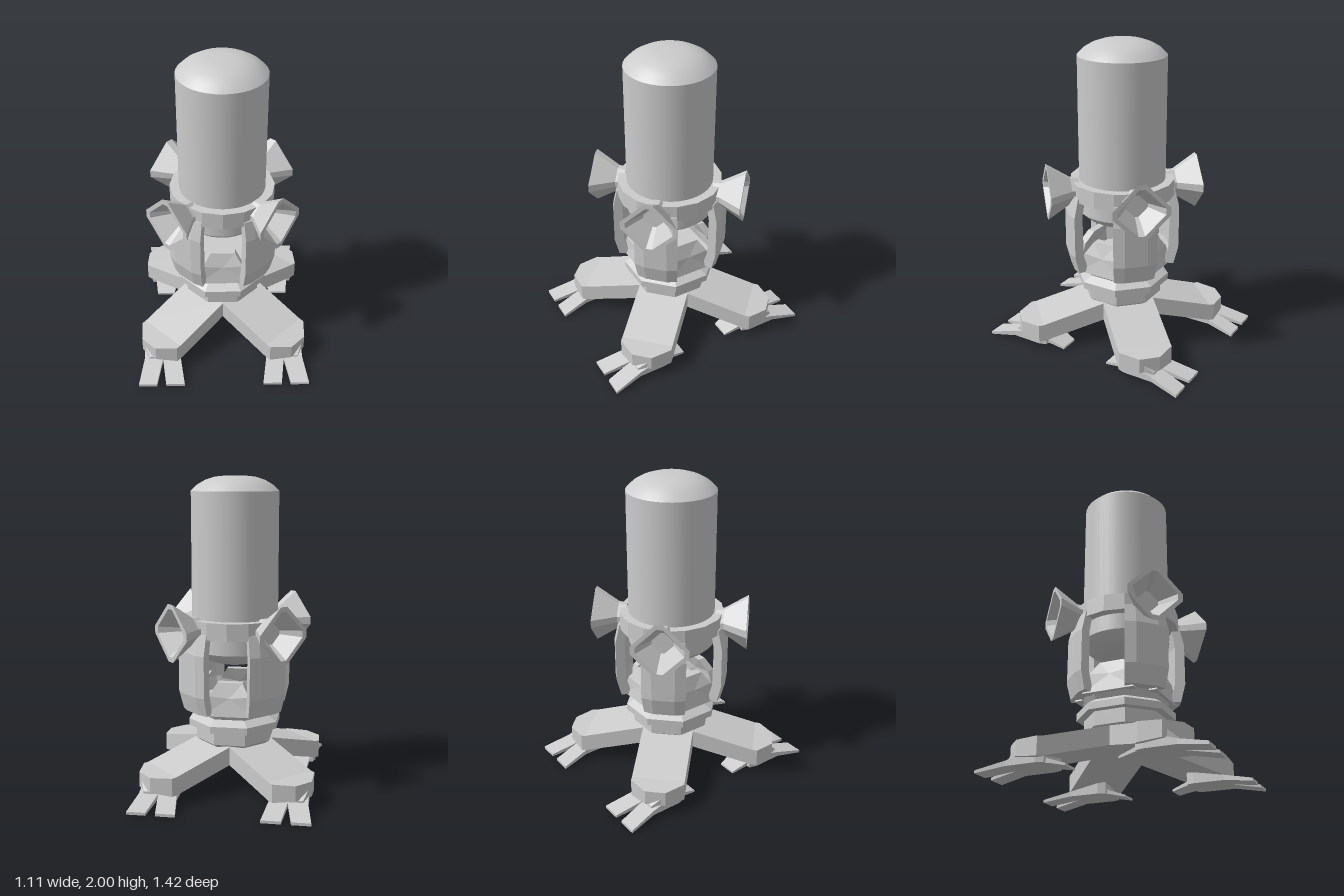
import * as THREE from 'three';

const flat = () => new THREE.MeshStandardMaterial({ color: 0xcccccc, flatShading: true });
const smooth = () => new THREE.MeshStandardMaterial({ color: 0xcccccc });

// Closed solid through rings of [x, y, z] points, always wound outwards
function loft(rings) {
  const tris = [];
  const n = rings[0].length;
  for (let r = 0; r < rings.length - 1; r++) {
    for (let i = 0; i < n; i++) {
      const j = (i + 1) % n;
      const a = rings[r][i], b = rings[r][j], c = rings[r + 1][j], d = rings[r + 1][i];
      tris.push([a, b, c], [a, c, d]);
    }
  }
  const cap = (ring, first) => {
    const mid = [0, 1, 2].map((k) => ring.reduce((sum, p) => sum + p[k], 0) / n);
    for (let i = 0; i < n; i++) {
      const a = ring[i], b = ring[(i + 1) % n];
      tris.push(first ? [mid, b, a] : [mid, a, b]);
    }
  };
  cap(rings[0], true);
  cap(rings[rings.length - 1], false);
  const vec = (p) => new THREE.Vector3(...p);
  let volume = 0;
  for (const [a, b, c] of tris) volume += vec(a).dot(vec(b).cross(vec(c)));
  const pos = tris.flatMap(([a, b, c]) => (volume < 0 ? [a, c, b] : [a, b, c])).flat();
  const geo = new THREE.BufferGeometry();
  geo.setAttribute('position', new THREE.Float32BufferAttribute(pos, 3));
  geo.computeVertexNormals();
  return geo;
}

const lathe = (pts, sides, start = 0) =>
  new THREE.LatheGeometry(pts.map(([x, y]) => new THREE.Vector2(x, y)), sides, start);

// Rectangle across x and y at depth z
const rectAt = (z, x0, x1, y0, y1) => [[x0, y0, z], [x1, y0, z], [x1, y1, z], [x0, y1, z]];

export function createModel() {
  const model = new THREE.Group();
  const add = (name, geo, mat = flat(), turn = 0) => {
    const mesh = new THREE.Mesh(geo, mat);
    mesh.name = name;
    mesh.rotation.y = turn;
    model.add(mesh);
    return mesh;
  };

  // Smooth canister with domed ends
  const dome = [[0, 0], [0.07, 0.001], [0.13, 0.007], [0.19, 0.027], [0.24, 0.056], [0.28, 0.095]];
  add('canisterBottom', lathe(dome.map(([r, h]) => [r, 0.8 + h]), 40), smooth());
  add('canisterWall', lathe([[0.28, 0.895], [0.28, 1.905]], 40), smooth());
  add('canisterTop', lathe(dome.map(([r, h]) => [r, 2 - h]).reverse(), 40), smooth());

  // Collar holding the canister
  add('collar', lathe([[0.275, 1], [0.34, 1], [0.34, 1.11], [0.275, 1.11], [0.275, 1]], 16));

  // Octagonal pedestal
  const eighth = Math.PI / 8;
  add('bowl', lathe([[0, 0.45], [0.24, 0.45], [0.285, 0.52], [0.285, 0.55], [0, 0.55]], 8, eighth));
  add('baseDisc', lathe(
    [[0, 0.39], [0.31, 0.39], [0.31, 0.435], [0.25, 0.47], [0, 0.47]], 8, eighth));
  add('hub', lathe([[0, 0.2], [0.19, 0.25], [0.26, 0.3], [0.26, 0.4], [0, 0.4]], 8, eighth));

  // Curved strut: arc section stacked over a bulging profile
  const arc = [-22.5, -11.5, 11.5, 22.5].map(THREE.MathUtils.degToRad);
  const strutRing = ([y, inner, outer]) => [
    ...arc.map((a) => [outer * Math.sin(a), y, outer * Math.cos(a)]),
    ...[...arc].reverse().map((a) => [inner * Math.sin(a), y, inner * Math.cos(a)]),
  ];
  const strut = loft([
    [0.51, 0.275, 0.345], [0.63, 0.31, 0.375], [0.9, 0.315, 0.375], [1.03, 0.29, 0.345],
  ].map(strutRing));

  // Horn: chamfered diamond flaring out, then back into a hollow
  const hornRing = ([z, r, c]) => [
    [c, r], [r, c], [r, -c], [c, -r], [-c, -r], [-r, -c], [-r, c], [-c, r],
  ].map(([x, y]) => [x, 1.045 + y, z]);
  const horn = loft([
    [0.29, 0.08, 0.02], [0.345, 0.085, 0.02], [0.495, 0.182, 0.025],
    [0.495, 0.15, 0.02], [0.37, 0.07, 0.012],
  ].map(hornRing));

  // Leg: beam sloping down to a tapered ankle
  const leg = loft([
    rectAt(0, -0.17, 0.17, 0.2, 0.29),
    rectAt(0.17, -0.17, 0.17, 0.168, 0.288),
    rectAt(0.573, -0.17, 0.17, 0.062, 0.18),
    rectAt(0.605, -0.17, 0.17, 0.06, 0.178),
    rectAt(0.7, -0.065, 0.065, 0.075, 0.172),
  ]);

  // Upright petal leaning inward over the bowl
  const outline = [[-0.17, 0.5], [0.17, 0.5], [0.13, 0.63], [0.08, 0.71], [-0.08, 0.71], [-0.13, 0.63]];
  const petal = loft([0.275, 0.225].map((z) =>
    outline.map(([x, y]) => [x, y, z - Math.max(0, y - 0.6) * 0.5])));

  for (let i = 0; i < 4; i++) {
    const side = (i * Math.PI) / 2;
    const diagonal = side + Math.PI / 4;
    add('petal', petal, flat(), side);
    add('strut', strut, flat(), diagonal);
    add('horn', horn, flat(), diagonal);
    add('leg', leg, flat(), diagonal);
  }

  // Feet, mirrored left to right and front to back
  for (const sx of [-1, 1]) {
    for (const sz of [-1, 1]) {
      const part = (name, rings) =>
        add(name, loft(rings.map((ring) => ring.map(([x, y, z]) => [sx * x, y, sz * z]))));
      part('foot', [
        rectAt(0.28, 0.3, 0.51, 0.03, 0.1),
        rectAt(0.33, 0.285, 0.525, 0.03, 0.13),
        rectAt(0.46, 0.285, 0.525, 0.03, 0.13),
        rectAt(0.525, 0.31, 0.495, 0.03, 0.075),
      ]);
      part('innerToe', [
        rectAt(0.45, 0.285, 0.403, 0.03, 0.085),
        rectAt(0.525, 0.285, 0.403, 0.03, 0.062),
        rectAt(0.71, 0.256, 0.377, 0, 0.018),
      ]);
      part('outerToe', [
        rectAt(0.45, 0.403, 0.525, 0.03, 0.085),
        rectAt(0.525, 0.403, 0.525, 0.03, 0.062),
        rectAt(0.71, 0.437, 0.555, 0, 0.018),
      ]);
      part('heelSpur', [
        rectAt(0.31, 0.32, 0.49, 0.03, 0.08),
        rectAt(0.265, 0.33, 0.485, 0.03, 0.055),
        rectAt(0.165, 0.35, 0.472, 0.008, 0.022),
      ]);
    }
  }
  return model;
}
